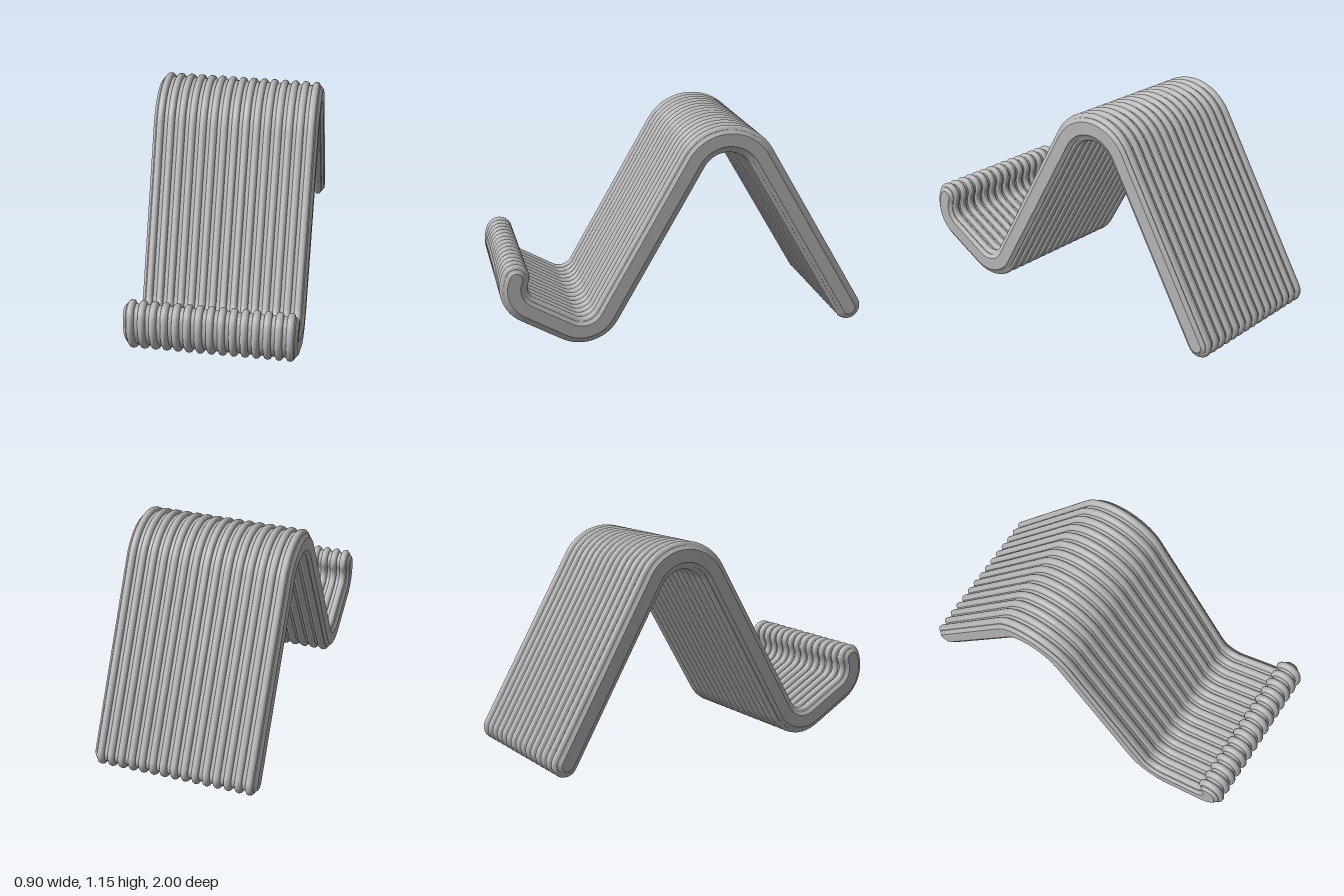
import * as THREE from 'three';
import { toCreasedNormals } from 'three/addons/utils/BufferGeometryUtils.js';

const RIBS = 15, PITCH = 0.0586, RIB_R = 0.02;
const HALF_WIDTH = 0.45, BASE = 0.053, SIDE = 0.034;
const CAP = 10; // points on each rounded end
const rad = THREE.MathUtils.degToRad;

// Centre line of the bent sheet: z, y and heading h (h is measured from +z towards +y)
function centreLine() {
  const path = [{ z: -0.925, y: 0.075, h: rad(60) }];
  const bend = (z, y, r, from, to, steps) => {
    const side = Math.sign(from - to);
    for (let i = 0; i <= steps; i++) {
      const h = rad(from + (to - from) * i / steps);
      path.push({ z: z - side * r * Math.sin(h), y: y + side * r * Math.cos(h), h });
    }
  };
  bend(-0.22, 0.864, 0.215, 60, -60, 18);  // top fold
  bend(0.569, 0.227, 0.15, -60, 30, 14);   // bottom fold
  bend(0.787, 0.34, 0.14, 30, 115, 14);    // front lip
  return path;
}

// Closed outline at distance d around the centre line, with round ends
function outline(path, d) {
  const at = (p, a) => [p.z + d * Math.cos(a), p.y + d * Math.sin(a)];
  const cap = (p, start) => Array.from({ length: CAP }, (_, k) =>
    at(p, start - Math.PI * (k + 1) / (CAP + 1)));
  const first = path[0], last = path[path.length - 1];
  return [
    ...path.map(p => at(p, p.h + Math.PI / 2)),
    ...cap(last, last.h + Math.PI / 2),
    ...[...path].reverse().map(p => at(p, p.h - Math.PI / 2)),
    ...cap(first, first.h - Math.PI / 2),
  ];
}

// Half thickness across the width: chamfered edges and half-round ribs
function ribProfile() {
  const pts = [[-HALF_WIDTH, SIDE], [-0.434, BASE]];
  for (let i = 0; i < RIBS; i++) {
    const x = (i - (RIBS - 1) / 2) * PITCH;
    for (let k = 0; k <= 8; k++) {
      const a = Math.PI * (1 - k / 8);
      pts.push([x + RIB_R * Math.cos(a), BASE + RIB_R * Math.sin(a)]);
    }
  }
  pts.push([0.434, BASE], [HALF_WIDTH, SIDE]);
  return pts;
}

function ribbedSurface(path) {
  const rows = ribProfile().map(([x, d]) => outline(path, d).map(([z, y]) => [x, y, z]));
  const n = rows[0].length, pos = [], index = [];
  rows.forEach(r => r.forEach(p => pos.push(...p)));
  for (let j = 0; j < rows.length - 1; j++) {
    for (let i = 0; i < n; i++) {
      const a = j * n + i, b = j * n + (i + 1) % n;
      index.push(a, b, b + n, a, b + n, a + n);
    }
  }
  return build(pos, index);
}

// Flat edge band: joins opposite points of the outline
function edgeBand(path, sign) {
  const pts = outline(path, SIDE), n = pts.length, m = path.length;
  const pos = pts.flatMap(([z, y]) => [sign * HALF_WIDTH, y, z]), index = [];
  const wrap = i => (i + n) % n;
  const opposite = i => wrap(2 * m + CAP - 1 - i);
  for (let i = -CAP / 2; i < m + CAP / 2 - 1; i++) {
    const a = wrap(i), b = wrap(i + 1), c = opposite(i + 1), d = opposite(i);
    if (sign > 0) index.push(a, b, c, a, c, d);
    else index.push(a, c, b, a, d, c);
  }
  return build(pos, index);
}

function build(pos, index) {
  const g = new THREE.BufferGeometry();
  g.setAttribute('position', new THREE.Float32BufferAttribute(pos, 3));
  g.setIndex(index);
  return toCreasedNormals(g, 0.6);
}

export function createModel() {
  const group = new THREE.Group();
  group.name = 'ribbedStand';
  const grey = new THREE.MeshStandardMaterial({ color: 0xb8b8b8 });
  grey.name = 'grey';
  const path = centreLine();
  const add = (name, geometry) => {
    const mesh = new THREE.Mesh(geometry, grey);
    mesh.name = name;
    group.add(mesh);
  };
  add('ribbedSheet', ribbedSurface(path));
  add('leftEdge', edgeBand(path, 1));
  add('rightEdge', edgeBand(path, -1));
  return group;
}
